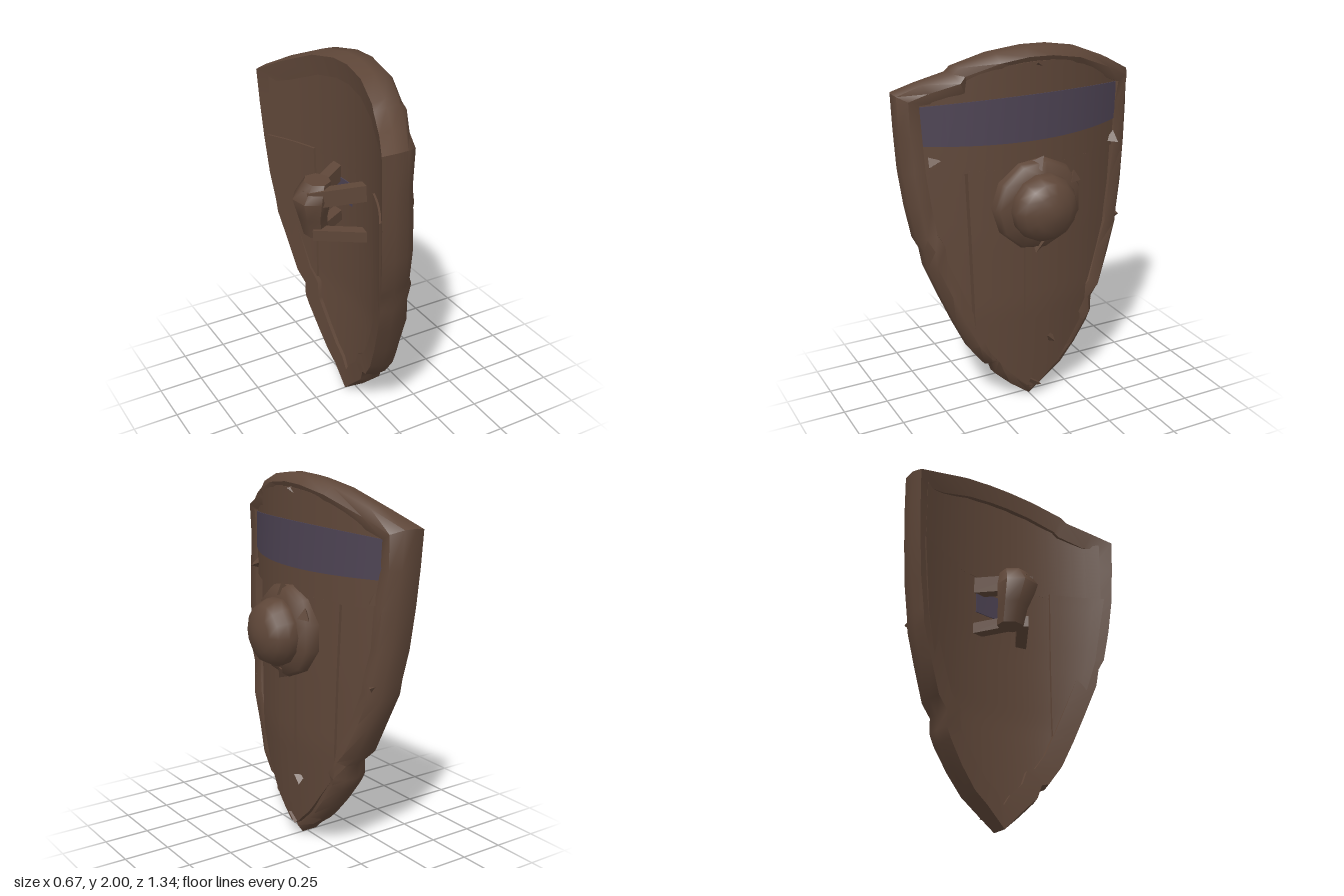
import * as THREE from 'three';
import { toCreasedNormals } from 'three/addons/utils/BufferGeometryUtils.js';

const wood = new THREE.MeshStandardMaterial({ color: 0x5e4638 });
wood.name = 'brown wood';
const paint = new THREE.MeshStandardMaterial({ color: 0x4c4252 });
paint.name = 'faded violet paint';

// Worn outline as [z, y], from the top centre round the +z side
const outline = [
  [0.04, 2], [0.2, 1.98], [0.38, 1.92], [0.41, 1.89], [0.55, 1.84], [0.67, 1.78], [0.668, 1.58],
  [0.66, 1.38], [0.64, 1.2], [0.61, 1.02], [0.58, 0.96], [0.565, 0.86], [0.5, 0.69], [0.43, 0.52],
  [0.36, 0.37], [0.28, 0.26], [0.24, 0.25], [0.215, 0.18], [0.12, 0.09], [0, 0],
  [-0.12, 0.09], [-0.2, 0.15], [-0.29, 0.26], [-0.37, 0.38], [-0.4, 0.44], [-0.4, 0.52], [-0.46, 0.58],
  [-0.53, 0.76], [-0.59, 0.92], [-0.6, 1.0], [-0.63, 1.16], [-0.652, 1.38], [-0.665, 1.58],
  [-0.67, 1.78], [-0.5, 1.87], [-0.28, 1.96], [-0.1, 1.995],
];
const widths = [[0, 0], [0.2, 0.215], [0.4, 0.36], [0.6, 0.46], [0.8, 0.545], [1, 0.6], [1.4, 0.655], [2, 0.67]];

// Half width of the board inside the rim at height y
function halfWidth(y) {
  for (let i = 1; i < widths.length; i++) {
    const [y0, w0] = widths[i - 1], [y1, w1] = widths[i];
    if (y <= y1) return Math.max(0.02, w0 + (w1 - w0) * (y - y0) / (y1 - y0) - 0.06);
  }
  return 0.6;
}
const face = (z, y) => 0.085 + 0.04 * Math.min(1, y / 0.6) - 0.015 * Math.max(0, y - 1) - 0.52 * z * z;
const back = (z, y) => -0.06 - (0.3 + 0.06 * y) * z * z;

function add(group, name, geometry, material = wood) {
  const mesh = new THREE.Mesh(geometry, material);
  mesh.name = name;
  group.add(mesh);
  return mesh;
}

// Slab bent to the shield curve; place(u, v) gives [z, y], offsets are measured from the face
function slab(place, front, rear, ny = 16, nz = 16) {
  const g = new THREE.BoxGeometry(1, 1, 1, 1, ny, nz);
  const p = g.attributes.position;
  for (let i = 0; i < p.count; i++) {
    const [z, y] = place(p.getZ(i) + 0.5, p.getY(i) + 0.5);
    p.setXYZ(i, face(z, y) + (p.getX(i) > 0 ? front : rear), y, z);
  }
  return toCreasedNormals(g, 0.7);
}
const strip = (y0, y1, limit) => (u, v) => {
  const y = y0 + (y1 - y0) * v;
  return [(2 * u - 1) * Math.min(limit, halfWidth(y)), y];
};

// Thick rounded rim: a six-sided section swept round the outline
function rimGeometry() {
  const section = [[0.02, 0], [0, 0.07], [0.003, 0.14], [0.045, 0.175], [0.105, 0.15], [0.125, 0.01]];
  const n = outline.length, s = section.length, pos = [], index = [];
  outline.forEach(([z, y], i) => {
    const a = outline[(i + n - 1) % n], b = outline[(i + 1) % n];
    const tz = b[0] - a[0], ty = b[1] - a[1], len = Math.hypot(tz, ty);
    const wear = 0.01 * Math.sin(i * 2.7);
    section.forEach(([d, h], j) => {
      const inset = y < 0.01 && d < 0.03 ? 0 : d;
      const pz = z + ty / len * inset, py = y - tz / len * inset;
      const k = 0.65 + 0.35 * Math.min(1, y / 0.4);
      pos.push(back(pz, py) + h * k + (j === 3 || j === 4 ? wear : 0), py, pz);
      const i2 = (i + 1) % n, j2 = (j + 1) % s;
      const A = i * s + j, B = i2 * s + j, C = i2 * s + j2, D = i * s + j2;
      index.push(A, B, D, B, C, D);
    });
  });
  const g = new THREE.BufferGeometry();
  g.setAttribute('position', new THREE.Float32BufferAttribute(pos, 3));
  g.setIndex(index);
  return toCreasedNormals(g, 1.0);
}

// Bar between two points
function bar(group, name, a, b, height, thick) {
  const from = new THREE.Vector3(...a), to = new THREE.Vector3(...b);
  const m = add(group, name, new THREE.BoxGeometry(thick, height, from.distanceTo(to)));
  m.position.copy(from).add(to).multiplyScalar(0.5);
  m.lookAt(to);
}

export function createModel() {
  const shield = new THREE.Group();
  shield.name = 'shield';

  add(shield, 'rim', rimGeometry());

  // Boards: middle, arched top, narrow rib and two side planks set slightly back
  const arched = (u, v) => {
    const [z, y] = strip(1.38, 1.76, 0.585)(u, v);
    return [z, y + 0.17 * v * (1 - (z / 0.6) ** 2)];
  };
  const middle = (u, v) => {
    const y = 0.08 + 1.31 * v;
    return [(2 * u - 1) * Math.min(0.325 + 0.025 * y, halfWidth(y)), y];
  };
  add(shield, 'middleBoard', slab(middle, 0, -0.13, 24));
  add(shield, 'topBoard', slab(arched, 0, -0.13));
  add(shield, 'centralRib', slab(strip(0.2, 1.0, 0.075), 0.012, -0.02, 10, 4));
  for (const side of [-1, 1]) {
    const plank = (u, v) => {
      const y = 0.46 + 0.94 * v, inner = 0.31, outer = Math.max(inner + 0.01, halfWidth(y));
      const t = side > 0 ? u : 1 - u;
      return [side * (inner + (outer - inner) * t), y];
    };
    add(shield, 'sidePlank', slab(plank, side > 0 ? -0.04 : -0.015, -0.142, 12, 6));
  }

  // Painted band across the top board
  const band = (u, v) => {
    const z = (2 * u - 1) * 0.568;
    return [z, 1.525 + v * (0.24 - 0.12 * z * z)];
  };
  add(shield, 'paintedBand', slab(band, 0.006, 0.001, 1, 20), paint);

  // Boss: domed centre on an uneven collar
  const boss = new THREE.Group();
  boss.name = 'boss';
  boss.position.set(0, 1.185, 0);
  boss.rotation.z = -Math.PI / 2;
  const lathe = (pts, sides) => toCreasedNormals(
    new THREE.LatheGeometry(pts.map(p => new THREE.Vector2(...p)), sides), 0.9);
  add(boss, 'collar', lathe([[0.25, 0.08], [0.25, 0.14], [0.235, 0.165], [0.16, 0.185]], 11));
  add(boss, 'dome', lathe([[0.17, 0.14], [0.182, 0.19], [0.177, 0.23], [0.15, 0.28], [0.1, 0.31], [0.05, 0.325], [0, 0.335]], 14));
  shield.add(boss);

  // Splinters half sunk into the rim, collar and rib
  [[0.11, 0.37, -0.09, 0.04], [0.08, 0.1, 0, 0.05], [-0.02, 0.98, -0.55, 0.045], [0.02, 0.5, -0.36, 0.04],
    [0.15, 1.41, 0, 0.05], [0.15, 0.96, 0, 0.05], [0.09, 1.91, -0.02, 0.045], [-0.02, 1.42, -0.54, 0.045],
    [-0.01, 0.8, 0.48, 0.04], [-0.02, 1.44, 0.52, 0.045], [0.15, 1.3, -0.2, 0.045],
  ].forEach(([x, y, z, r], i) => {
    const chip = add(shield, 'splinter', new THREE.TetrahedronGeometry(r));
    chip.position.set(x, y, z);
    chip.rotation.set(i, i * 1.9, i * 0.7);
  });

  // Handle behind: upper and lower pairs of straps meeting at a leaning grip
  const handle = new THREE.Group();
  handle.name = 'handle';
  for (const side of [-1, 1]) {
    bar(handle, 'upperStrap', [0.01, 1.33, side * 0.16], [-0.27, 1.28, 0], 0.09, 0.06);
    bar(handle, 'lowerStrap', [0.01, 1.07, side * 0.16], [-0.24, 1.07, -0.01], 0.06, 0.06);
  }
  const rings = [[1.04, -0.2, -0.06, 0.065], [1.15, -0.22, -0.055, 0.075], [1.27, -0.235, -0.035, 0.1], [1.36, -0.2, -0.035, 0.07]];
  const g = new THREE.CylinderGeometry(1, 1, 1, 7, 3);
  const p = g.attributes.position;
  for (let i = 0; i < p.count; i++) {
    const [y, x, z, r] = rings[Math.round((p.getY(i) + 0.5) * 3)];
    p.setXYZ(i, x + p.getX(i) * r, y, z + p.getZ(i) * r * 1.15);
  }
  add(handle, 'grip', toCreasedNormals(g, 0.95));
  shield.add(handle);

  // Painted patch on the back between the straps
  const patch = (u, v) => [-0.16 + 0.16 * u, 1.17 + 0.13 * v];
  add(shield, 'paintedPatch', slab(patch, -0.131, -0.136, 1, 2), paint);

  return shield;
}
